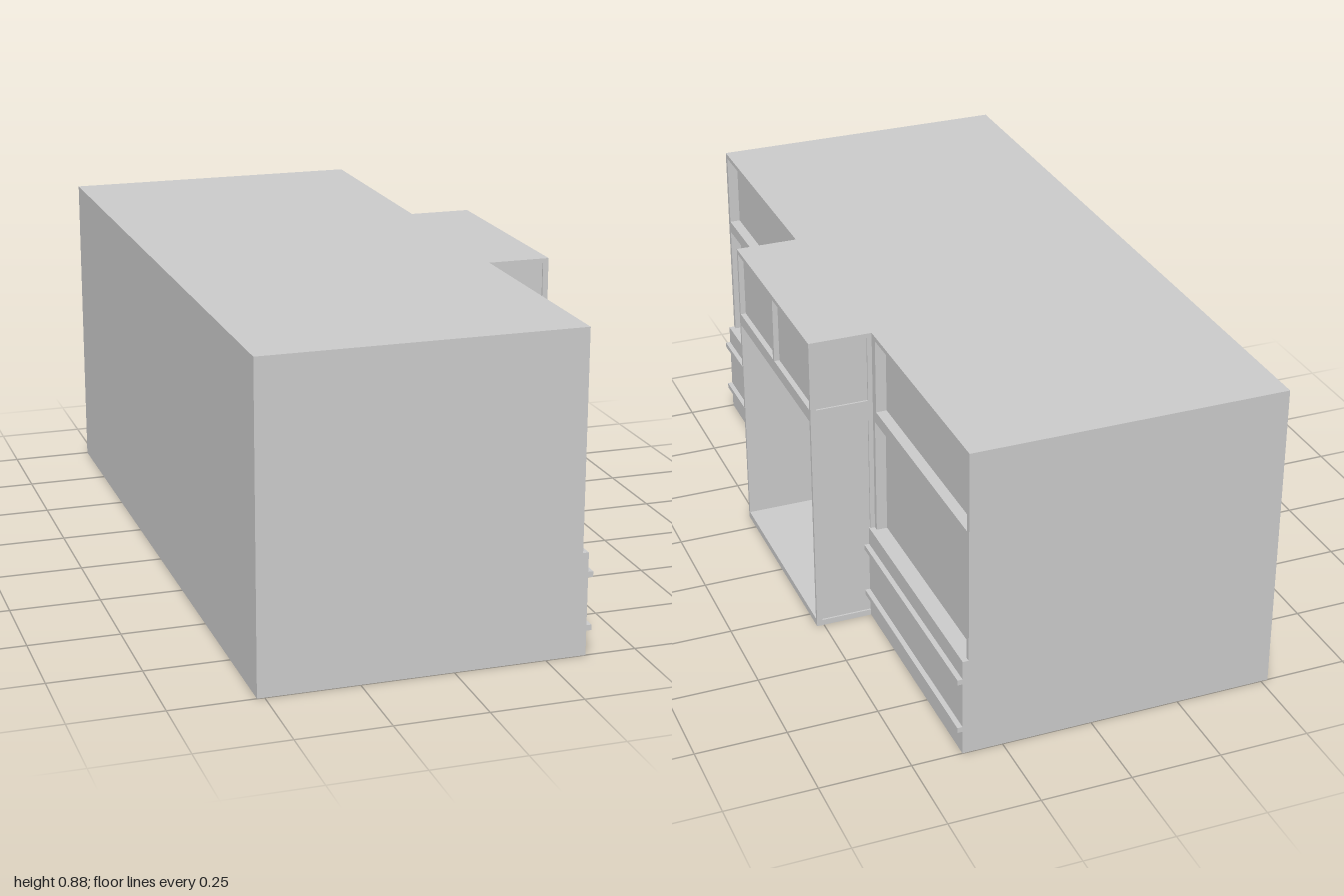
import * as THREE from 'three';

const material = new THREE.MeshStandardMaterial({ color: 0xcccccc, flatShading: true });
const HEIGHT = 0.88, BACK = -0.52, CORE = 0.315, FACE = 0.345, PORCH = 0.52, HALF = 0.315;

function addMesh(parent, name, geometry) {
  const mesh = new THREE.Mesh(geometry, material);
  mesh.name = name;
  parent.add(mesh);
  return mesh;
}

// Floor plan given as [x, z] points, raised from y0 to y1
function plan(points, y0, y1) {
  const shape = new THREE.Shape(points.map(([x, z]) => new THREE.Vector2(x, -z)));
  return new THREE.ExtrudeGeometry(shape, { depth: y1 - y0, bevelEnabled: false })
    .rotateX(-Math.PI / 2).translate(0, y0, 0);
}

function rectangle(Type, [u0, u1, v0, v1]) {
  return new Type([[u0, v0], [u1, v0], [u1, v1], [u0, v1]].map(([u, v]) => new THREE.Vector2(u, v)));
}

// Flat frame with rectangular holes, each rectangle being [u0, u1, v0, v1]
function frame(outer, holes, depth) {
  const shape = rectangle(THREE.Shape, outer);
  shape.holes = holes.map((h) => rectangle(THREE.Path, h));
  return new THREE.ExtrudeGeometry(shape, { depth, bevelEnabled: false });
}

function block(x0, x1, y0, y1, z0, z1) {
  return new THREE.BoxGeometry(x1 - x0, y1 - y0, z1 - z0)
    .translate((x0 + x1) / 2, (y0 + y1) / 2, (z0 + z1) / 2);
}

export function createModel() {
  const model = new THREE.Group();
  model.name = 'shopBuilding';

  // Main volume with the porch core; the middle storey holds the entrance room
  const px = PORCH - 0.015, pz = HALF - 0.005, room = 0.305;
  const rear = [[CORE, -pz], [CORE, -1], [BACK, -1], [BACK, 1], [CORE, 1], [CORE, pz]];
  const solid = [...rear, [px, pz], [px, -pz]];
  const hollow = [...rear, [px, pz], [px, room], [-0.25, room], [-0.25, -0.555],
    [0.155, -0.555], [0.155, -room], [px, -room], [px, -pz]];
  addMesh(model, 'floorSlab', plan(solid, 0, 0.02));
  addMesh(model, 'roomWalls', plan(hollow, 0.02, 0.645));
  addMesh(model, 'upperStorey', plan(solid, 0.645, HEIGHT));

  // Wings on either side: window frames, plinth and two raised bands
  for (const side of [1, -1]) {
    const wing = new THREE.Group();
    wing.name = side > 0 ? 'frontWing' : 'rearWing';
    const span = (a, b) => (side > 0 ? [a, b] : [-b, -a]);
    const windows = [
      [...span(0.33, 0.985), 0.283, 0.62],
      [...span(0.34, 0.985), 0.655, 0.867],
    ];
    const outer = [...span(pz, 1), 0.27, HEIGHT];
    const flip = ([a, b, c, d]) => [-b, -a, c, d];
    addMesh(wing, 'windowFrame', frame(flip(outer), windows.map(flip), FACE - CORE)
      .rotateY(Math.PI / 2).translate(CORE, 0, 0));
    addMesh(wing, 'plinth', block(CORE, 0.361, 0, 0.283, ...span(pz, 1)));
    for (const y of [0.068, 0.215]) {
      addMesh(wing, 'band', block(0.35, 0.375, y, y + 0.015, ...span(pz, 1)));
    }
    model.add(wing);

    // Shallow panelled cheek of the porch
    addMesh(model, 'porchSide', frame([CORE, px, 0, HEIGHT],
      [[0.358, px - 0.001, 0.017, 0.62], [0.358, px - 0.001, 0.68, 0.867]], 0.005)
      .translate(0, 0, side > 0 ? pz : -HALF));
  }

  // Porch front: open doorway below, two sign panels above
  addMesh(model, 'porchFront', frame([-HALF, HALF, 0, HEIGHT], [
    [-room, room, 0.02, 0.645],
    [-room, -0.006, 0.68, 0.867],
    [0.006, room, 0.68, 0.867],
  ], PORCH - px).rotateY(Math.PI / 2).translate(px, 0, 0));

  return model;
}
